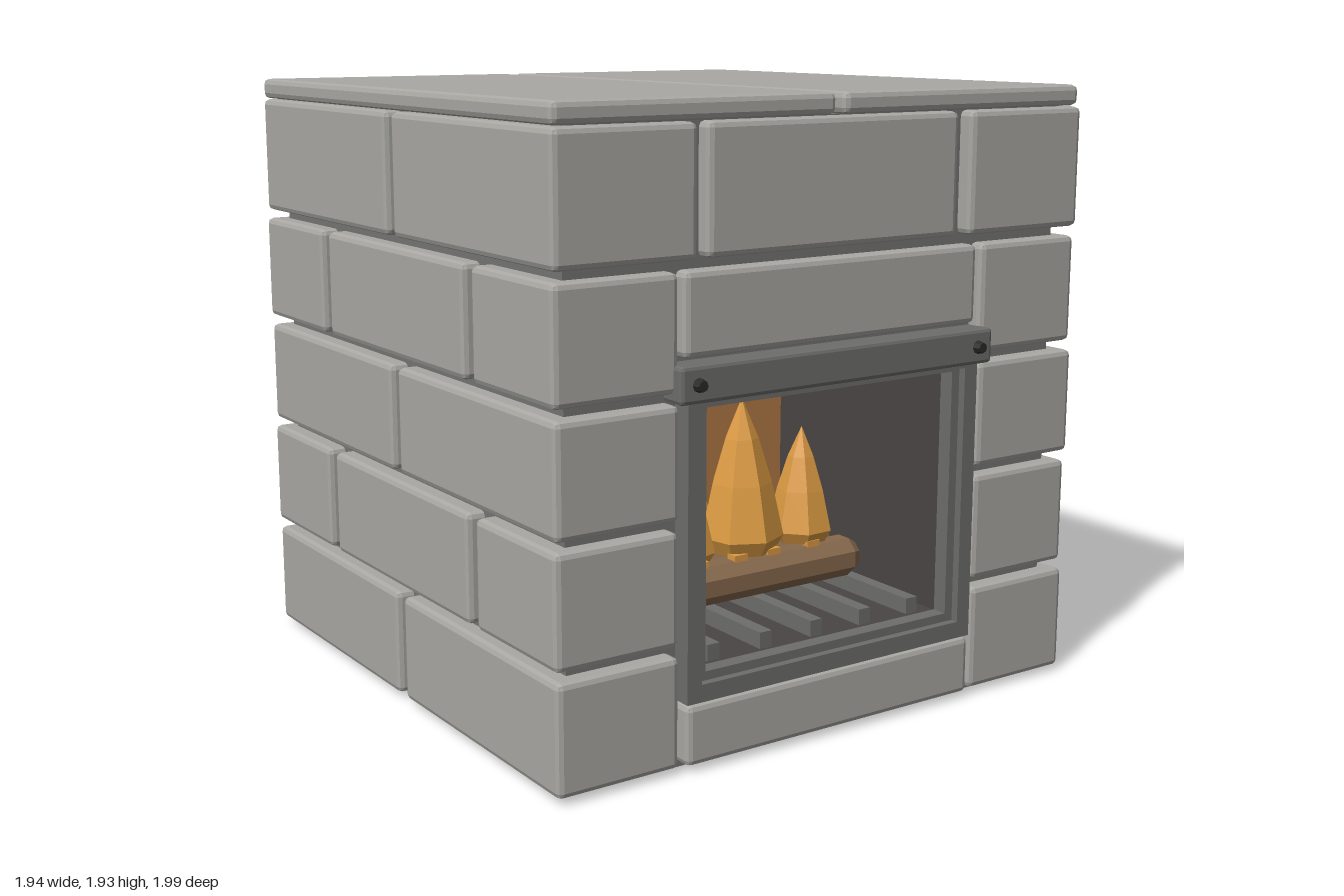
import * as THREE from 'three';
import { RoundedBoxGeometry } from 'three/addons/geometries/RoundedBoxGeometry.js';

const mat = (name, color) => {
  const m = new THREE.MeshStandardMaterial({ color, flatShading: true });
  m.name = name;
  return m;
};

export function createModel() {
  const root = new THREE.Group();
  root.name = 'fireplace';

  const stone = mat('stone', 0xa9a8a3);
  const mortar = mat('mortar', 0x757572);
  const iron = mat('iron', 0x6d6d6b);
  const soot = mat('soot', 0x4a4544);
  const bolt = mat('bolt', 0x2a2a2a);
  const glow = mat('glow', 0xb27845);
  const wood = mat('wood', 0x86694d);
  const fire = mat('fire', 0xdb9a42);

  const group = (name) => {
    const g = new THREE.Group();
    g.name = name;
    root.add(g);
    return g;
  };
  const add = (parent, name, geo, material, x = 0, y = 0, z = 0) => {
    const m = new THREE.Mesh(geo, material);
    m.name = name;
    m.position.set(x, y, z);
    parent.add(m);
    return m;
  };
  // Box given by its limits, with bevelled edges when r > 0
  const block = (parent, name, material, [x0, x1], [y0, y1], [z0, z1], r = 0) => {
    const s = [x1 - x0, y1 - y0, z1 - z0];
    const geo = r ? new RoundedBoxGeometry(...s, 1, r) : new THREE.BoxGeometry(...s);
    return add(parent, name, geo, material, (x0 + x1) / 2, (y0 + y1) / 2, (z0 + z1) / 2);
  };
  // Rectangular ring: outer and inner are [half width, bottom, top]
  const ring = (outer, inner, depth) => {
    const corners = ([w, b, t]) => [[-w, b], [w, b], [w, t], [-w, t]].map((p) => new THREE.Vector2(...p));
    const shape = new THREE.Shape(corners(outer));
    shape.holes.push(new THREE.Path(corners(inner).reverse()));
    return new THREE.ExtrudeGeometry(shape, { depth, bevelEnabled: false });
  };

  // Mortar core, hollow in front for the firebox
  const core = group('mortarCore');
  add(core, 'coreFront', ring([0.91, 0, 1.87], [0.49, 0.26, 1.1], 0.85), mortar, 0, 0, 0.04);
  block(core, 'coreBack', mortar, [-0.91, 0.91], [0, 1.87], [-0.93, 0.04]);

  // Brick courses: the joints alternate round the corners
  const bricks = group('bricks');
  const rows = [[0.02, 0.357], [0.385, 0.725], [0.755, 1.09], [1.12, 1.46], [1.49, 1.867]];
  rows.forEach((y, i) => {
    const inner = i === 4 ? 0.505 : 0.565;
    const plan = i % 2 === 0 ? [
      [[inner, 0.97], [0.485, 0.945]],
      [[0.6, 0.97], [-0.485, 0.44]],
      [[0.02, 0.97], [-0.98, -0.53]],
      [[-0.97, -0.02], [-0.98, -0.04]],
      [[-0.97, -inner], [0, 0.945]],
    ] : [
      [[inner, 0.965], [0, 0.94]],
      [[0.515, 0.965], [-0.99, -0.04]],
      [[-0.47, 0.475], [-0.99, -0.6]],
      [[-0.97, -0.51], [-0.99, -0.53]],
      [[-0.97, -0.6], [-0.485, 0.44]],
      [[-0.97, -inner], [0.485, 0.94]],
    ];
    for (const [x, z] of plan) block(bricks, 'brick', stone, x, y, z, 0.018);
  });
  block(bricks, 'topFrontBrick', stone, [-0.468, 0.457], rows[4], [0.7, 0.94], 0.018);
  block(bricks, 'lintelBrick', stone, [-0.545, 0.545], [1.215, 1.46], [0.7, 0.94], 0.018);
  block(bricks, 'hearthBrick', stone, [-0.545, 0.545], [0.02, 0.205], [0.7, 0.957], 0.018);

  // Two cap slabs
  const cap = group('cap');
  block(cap, 'capSlab', stone, [-0.965, -0.015], [1.87, 1.935], [-0.99, 0.935], 0.018);
  block(cap, 'capSlab', stone, [0.015, 0.965], [1.87, 1.935], [-0.99, 0.935], 0.018);

  // Firebox lining
  const box = group('firebox');
  add(box, 'lining', ring([0.492, 0.255, 1.105], [0.472, 0.285, 1.078], 0.86), soot, 0, 0, 0.04);
  block(box, 'backWall', soot, [-0.48, 0.48], [0.27, 1.09], [0.04, 0.06]);
  block(box, 'backGlow', glow, [-0.47, 0.47], [0.287, 0.89], [0.06, 0.068]);

  // Stepped iron frame around the opening
  const frame = group('frame');
  add(frame, 'outerFrame', ring([0.545, 0.21, 1.1], [0.495, 0.263, 1.082], 0.075), iron, 0, 0, 0.88);
  add(frame, 'innerFrame', ring([0.5, 0.255, 1.09], [0.465, 0.29, 1.07], 0.05), iron, 0, 0, 0.88);

  // Hood bar with two bolts
  const hood = group('hood');
  block(hood, 'hoodBar', iron, [-0.585, 0.585], [1.093, 1.203], [0.88, 0.977], 0.012);
  for (const s of [-1, 1]) {
    const b = add(hood, 'bolt', new THREE.CylinderGeometry(0.016, 0.023, 0.03, 8), bolt, s * 0.525, 1.148, 0.985);
    b.rotation.x = Math.PI / 2;
  }

  // Grate bars
  const grate = group('grate');
  for (let i = -2; i <= 2; i++) {
    const x = i * 0.193;
    block(grate, 'grateBar', iron, [x - 0.022, x + 0.022], [0.287, 0.338], [0.12, 0.86]);
  }

  // Eight-sided logs with tapered ends
  const logs = group('logs');
  const logProfile = [[0, -0.405], [0.045, -0.405], [0.068, -0.37], [0.068, 0.37], [0.045, 0.405], [0, 0.405]]
    .map((p) => new THREE.Vector2(...p));
  for (const z of [0.54, 0.4]) {
    const log = add(logs, 'log', new THREE.LatheGeometry(logProfile, 8, Math.PI / 8), wood, 0, 0.402, z);
    log.rotation.z = -Math.PI / 2;
  }

  // Faceted flames: x, z, height, radius
  const flames = group('flames');
  const flameProfile = [[0, 0], [0.8, 0], [1, 0.1], [0.72, 0.45], [0.4, 0.74], [0, 1]];
  const fires = [
    [0, 0.47, 0.495, 0.137], [-0.23, 0.48, 0.335, 0.102], [0.235, 0.48, 0.375, 0.108],
    [-0.115, 0.37, 0.3, 0.085], [0.135, 0.37, 0.28, 0.085],
  ];
  fires.forEach(([x, z, h, r], i) => {
    const pts = flameProfile.map(([a, b]) => new THREE.Vector2(a * r, b * h));
    add(flames, 'flame', new THREE.LatheGeometry(pts, 7, i * 0.7), fire, x, 0.468, z);
  });
  for (const x of [-0.22, -0.07, 0.06, 0.22])
    block(flames, 'ember', fire, [x - 0.025, x + 0.025], [0.45, 0.482], [0.53, 0.57]);

  return root;
}
